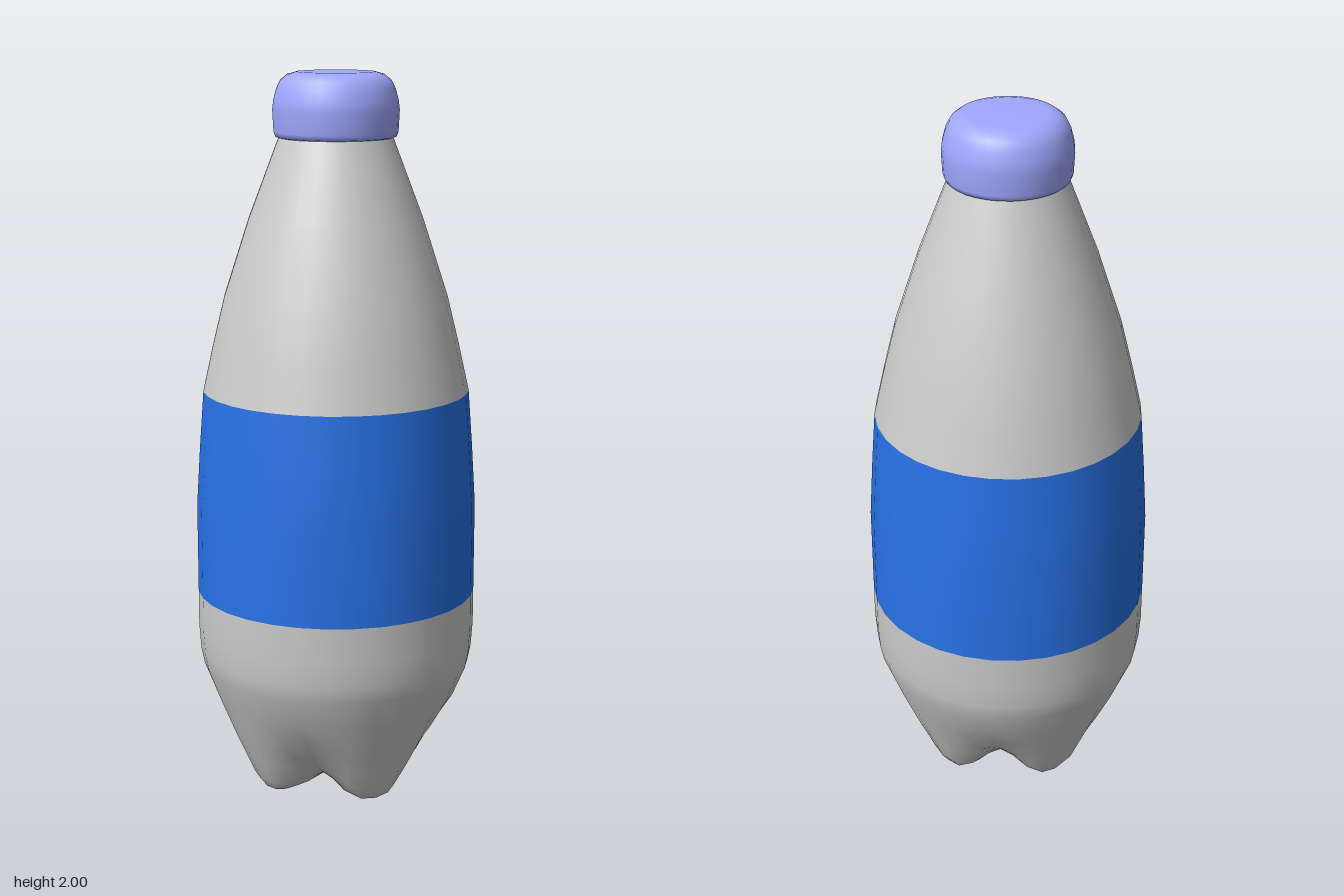
import * as THREE from 'three';
import { mergeVertices } from 'three/addons/utils/BufferGeometryUtils.js';

const SIDES = 32;

// Revolve a [radius, height] profile; an optional rule moves the vertices.
function revolve(name, profile, color, reshape) {
  const points = profile.map(([r, y]) => new THREE.Vector2(r, y));
  let geometry = new THREE.LatheGeometry(points, SIDES);
  if (reshape) {
    reshape(geometry.attributes.position, points.length);
    geometry.deleteAttribute('uv');
    geometry.deleteAttribute('normal');
    geometry = mergeVertices(geometry, 1e-5);
    geometry.computeVertexNormals();
  }
  const mesh = new THREE.Mesh(
    geometry,
    new THREE.MeshStandardMaterial({ color, side: THREE.DoubleSide })
  );
  mesh.name = name;
  return mesh;
}

export function createModel() {
  const bottle = new THREE.Group();
  bottle.name = 'bottle';

  // Lower body: profiles through a foot and through the groove between feet
  const foot = [
    [0, 0.03], [0.08, 0.012], [0.14, 0.002], [0.19, 0], [0.225, 0.008], [0.245, 0.035],
    [0.268, 0.09], [0.3, 0.165], [0.34, 0.265], [0.374, 0.355], [0.383, 0.4], [0.388, 0.47], [0.388, 0.57],
  ];
  const groove = [
    [0, 0.03], [0.05, 0.034], [0.1, 0.045], [0.14, 0.06], [0.18, 0.085], [0.215, 0.115],
    [0.25, 0.15], [0.295, 0.205], [0.34, 0.275], [0.374, 0.355], [0.383, 0.4], [0.388, 0.47], [0.388, 0.57],
  ];

  // Four feet on the axes, grooves on the diagonals
  const shapeFeet = (position, rows) => {
    for (let i = 0; i < position.count; i++) {
      const angle = (Math.floor(i / rows) / SIDES) * Math.PI * 2;
      const w = Math.abs(Math.sin(2 * angle)) ** 3;
      const [rf, yf] = foot[i % rows];
      const [rg, yg] = groove[i % rows];
      const r = THREE.MathUtils.lerp(rf, rg, w);
      position.setXYZ(i, r * Math.sin(angle), THREE.MathUtils.lerp(yf, yg, w), r * Math.cos(angle));
    }
  };
  bottle.add(revolve('lowerBody', foot, 0xcccccc, shapeFeet));

  // Wrapped label band, flush with the body
  bottle.add(revolve('label', [
    [0.388, 0.57], [0.388, 0.82], [0.378, 0.98], [0.366, 1.14],
  ], 0x2872e6));

  // Tapering shoulder and neck
  bottle.add(revolve('shoulder', [
    [0.366, 1.14], [0.338, 1.265], [0.305, 1.4], [0.237, 1.61], [0.157, 1.82], [0.14, 1.86],
  ], 0xcccccc));

  // Rounded screw cap
  bottle.add(revolve('cap', [
    [0, 1.825], [0.15, 1.825], [0.163, 1.829], [0.168, 1.842], [0.171, 1.9], [0.168, 1.925],
    [0.16, 1.955], [0.149, 1.978], [0.13, 1.993], [0.105, 2], [0, 2],
  ], 0xa0a8ff));

  return bottle;
}
